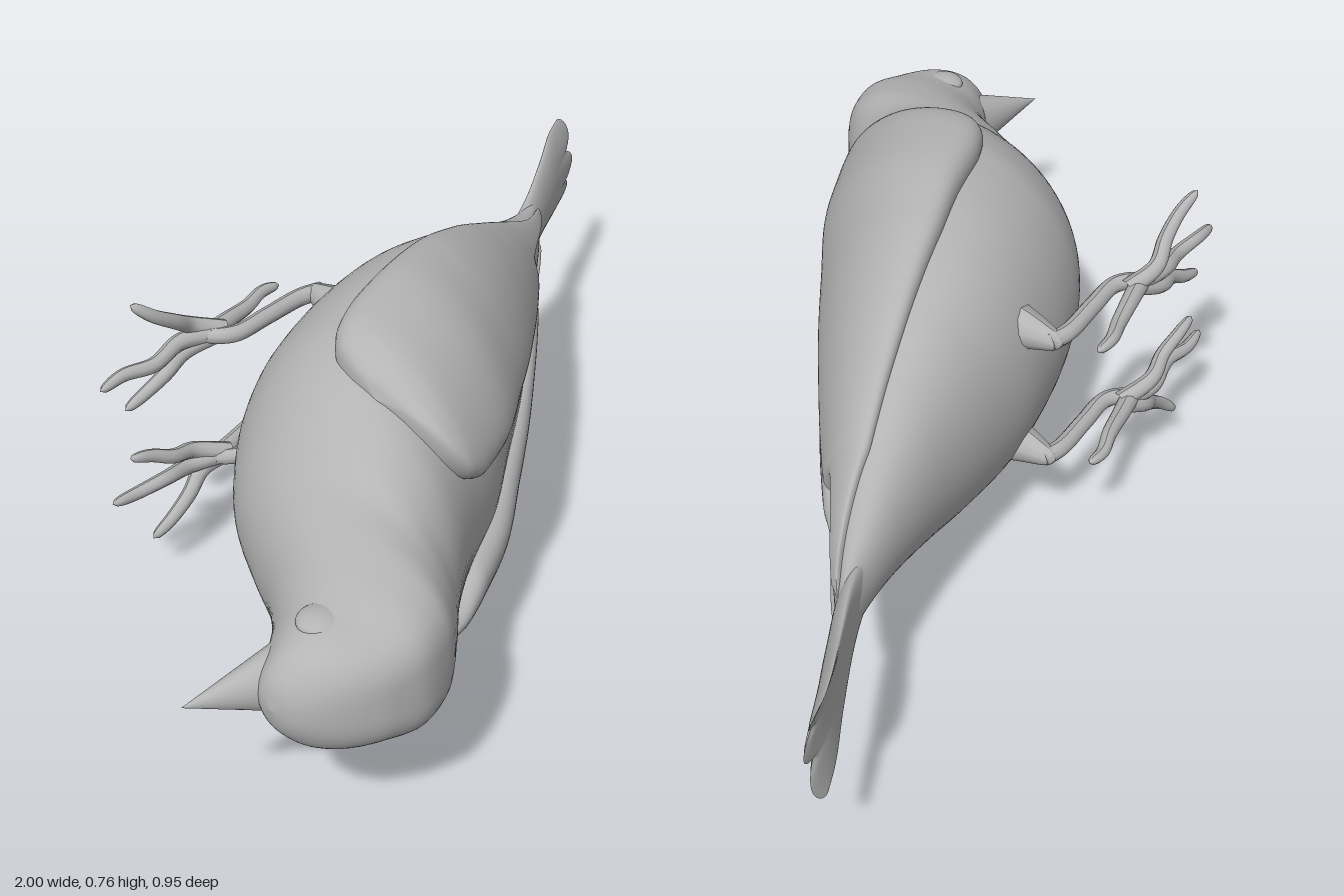
import * as THREE from 'three';

const MID = 0.38; // height of the bird's plane of symmetry (it lies on its side)
const grey = new THREE.MeshStandardMaterial({ color: 0xb4b4b4 });
grey.name = 'plain grey';
const greySheet = new THREE.MeshStandardMaterial({ color: 0xb4b4b4, side: THREE.DoubleSide });
greySheet.name = 'plain grey sheet';

// Monotone cubic through rows [x, a, b, ...]; returns column k at x
function curveAt(rows, k, x) {
  const n = rows.length;
  if (x <= rows[0][0]) return rows[0][k];
  if (x >= rows[n - 1][0]) return rows[n - 1][k];
  let i = 0;
  while (x > rows[i + 1][0]) i++;
  const slope = (j) => (rows[j + 1][k] - rows[j][k]) / (rows[j + 1][0] - rows[j][0]);
  const tangent = (j) => {
    if (j === 0) return slope(0);
    if (j === n - 1) return slope(n - 2);
    const p = slope(j - 1), q = slope(j);
    return p * q <= 0 ? 0 : (2 * p * q) / (p + q);
  };
  const h = rows[i + 1][0] - rows[i][0], t = (x - rows[i][0]) / h, t2 = t * t, t3 = t2 * t;
  return (2 * t3 - 3 * t2 + 1) * rows[i][k] + (t3 - 2 * t2 + t) * h * tangent(i)
    + (3 * t2 - 2 * t3) * rows[i + 1][k] + (t3 - t2) * h * tangent(i + 1);
}

// Grid surface from point(u, v); closed joins the last column to the first
function loft(nu, nv, closed, point) {
  const pos = [], index = [], cols = closed ? nv : nv + 1;
  for (let i = 0; i <= nu; i++) for (let j = 0; j < cols; j++) pos.push(...point(i / nu, j / nv));
  for (let i = 0; i < nu; i++) for (let j = 0; j < nv; j++) {
    const k = (j + 1) % cols, a = i * cols + j, b = a + cols, c = i * cols + k, d = c + cols;
    index.push(a, b, c, b, d, c);
  }
  const g = new THREE.BufferGeometry();
  g.setAttribute('position', new THREE.Float32BufferAttribute(pos, 3));
  g.setIndex(index);
  g.computeVertexNormals();
  return g;
}

// Body sections: x, back z, belly z, half width
const BODY = [
  [-0.912, 0.30, 0.30, 0], [-0.905, 0.335, 0.27, 0.038], [-0.89, 0.365, 0.25, 0.068],
  [-0.86, 0.40, 0.235, 0.10], [-0.82, 0.432, 0.21, 0.12], [-0.77, 0.458, 0.175, 0.132],
  [-0.70, 0.474, 0.10, 0.156], [-0.63, 0.462, -0.01, 0.177], [-0.56, 0.422, -0.11, 0.198],
  [-0.5, 0.378, -0.17, 0.24], [-0.4, 0.315, -0.245, 0.293], [-0.3, 0.262, -0.29, 0.32],
  [-0.15, 0.20, -0.325, 0.33], [0, 0.115, -0.34, 0.314], [0.15, 0.03, -0.336, 0.272],
  [0.3, -0.065, -0.332, 0.207], [0.45, -0.165, -0.336, 0.135], [0.6, -0.262, -0.35, 0.075],
  [0.68, -0.318, -0.362, 0.058], [0.78, -0.38, -0.388, 0.03],
];
// Roundness of the back half of each section: below 1 is fuller, as on the crown
const CROWN = [[-0.9, 0.9], [-0.8, 0.65], [-0.7, 0.55], [-0.63, 0.6], [-0.56, 0.85], [-0.5, 1.1], [-0.42, 1]];
function bodyPoint(x, a, offset = 0) {
  const top = curveAt(BODY, 1, x), low = curveAt(BODY, 2, x), w = curveAt(BODY, 3, x);
  const c = (top + low) / 2, h = (top - low) / 2, s = Math.sin(a);
  const e = Math.cos(a) > 0 ? curveAt(CROWN, 1, x) : 1;
  return [x, MID + (w + offset) * Math.sign(s) * Math.abs(s) ** e, c + (h + offset) * Math.cos(a)];
}

// Wing outline: x, inner edge angle, outer edge angle, thickness
const WING = [
  [-0.405, 1.3, 1.31, 0], [-0.395, 0.93, 1.52, 0.025], [-0.37, 0.62, 1.68, 0.043],
  [-0.33, 0.41, 1.72, 0.051], [-0.28, 0.31, 1.72, 0.053], [-0.2, 0.27, 1.70, 0.052],
  [0, 0.21, 1.65, 0.043], [0.2, 0.15, 1.62, 0.031], [0.42, 0.06, 1.52, 0.021],
  [0.435, 0.1, 1.5, 0.02], [0.45, 0.48, 1.46, 0.019], [0.55, 0.54, 1.25, 0.016],
  [0.66, 0.52, 1.03, 0.013], [0.69, 0.75, 0.85, 0.0],
];
function wingGeometry(side) {
  return loft(110, 36, false, (u, v) => {
    const x = -0.405 + 1.095 * (u < 0.25 ? u * u * 2 : 0.125 + (u - 0.25) * 0.875 / 0.75);
    // samples bunch up near both edges to round the rim
    const t = side > 0 ? v : 1 - v, s = 0.5 - 0.5 * Math.cos(Math.PI * t);
    const a = THREE.MathUtils.lerp(curveAt(WING, 1, x), curveAt(WING, 2, x), s);
    const rim = Math.sqrt(1 - Math.pow(Math.abs(2 * s - 1), 10));
    return bodyPoint(x, side * a, (curveAt(WING, 3, x) + 0.004) * rim - 0.004);
  });
}

// Arched tail fan with three rounded feather tips: x, half width, z, thickness
const TAIL = [[0.56, 0.05, -0.31, 0.022], [0.66, 0.07, -0.336, 0.022], [0.8, 0.094, -0.39, 0.018],
  [0.9, 0.117, -0.43, 0.014], [1, 0.12, -0.459, 0.007]];
function tailGeometry() {
  return loft(30, 96, true, (u, v) => {
    const a = v * Math.PI * 2, s = Math.sin(a);
    const end = 0.95 + (0.05 - 0.012 * Math.abs(s)) * Math.sqrt(Math.abs(Math.cos(1.5 * Math.PI * s)));
    const x = 0.56 + (end - 0.56) * u;
    const thick = curveAt(TAIL, 3, x) * Math.sqrt(Math.max(0, 1 - u ** 8));
    const z = curveAt(TAIL, 2, x) - 0.028 * s * s * u + thick * Math.cos(a);
    return [x, MID + curveAt(TAIL, 1, x) * s, z];
  });
}

// Tube along points that narrows from r0 to r1, with a rounded tip
function taperedTube(points, r0, r1) {
  const curve = new THREE.CatmullRomCurve3(points.map((p) => new THREE.Vector3(...p)));
  const g = new THREE.TubeGeometry(curve, 28, 1, 10, false);
  const p = g.attributes.position, uv = g.attributes.uv, v = new THREE.Vector3();
  for (let i = 0; i < p.count; i++) {
    const u = uv.getX(i), c = curve.getPointAt(u);
    const r = THREE.MathUtils.lerp(r0, r1, u) * Math.sqrt(Math.max(0, 1 - u ** 16));
    v.fromBufferAttribute(p, i).sub(c).multiplyScalar(r).add(c);
    p.setXYZ(i, v.x, v.y, v.z);
  }
  g.computeVertexNormals();
  return g;
}

// Leg pieces: name, radii, points as [x, distance from mid-plane, z]
const LEG = [
  ['thigh', 0.056, 0.016, [[-0.04, 0.142, -0.255], [-0.035, 0.144, -0.32], [-0.025, 0.146, -0.392]]],
  ['shank', 0.019, 0.017, [[-0.015, 0.146, -0.365], [-0.06, 0.146, -0.382], [-0.16, 0.147, -0.386],
    [-0.25, 0.147, -0.392], [-0.29, 0.148, -0.43], [-0.3, 0.148, -0.455]]],
  ['outerToe', 0.02, 0.012, [[-0.25, 0.147, -0.42], [-0.31, 0.175, -0.45], [-0.36, 0.21, -0.444],
    [-0.41, 0.245, -0.448], [-0.45, 0.282, -0.466]]],
  ['middleToe', 0.02, 0.012, [[-0.26, 0.147, -0.42], [-0.34, 0.15, -0.452], [-0.42, 0.138, -0.447],
    [-0.49, 0.143, -0.462], [-0.55, 0.135, -0.464]]],
  ['innerToe', 0.02, 0.012, [[-0.26, 0.147, -0.42], [-0.33, 0.12, -0.455], [-0.39, 0.1, -0.45],
    [-0.44, 0.075, -0.46], [-0.49, 0.058, -0.466]]],
  ['hindToe', 0.02, 0.012, [[-0.29, 0.148, -0.43], [-0.22, 0.145, -0.44], [-0.15, 0.14, -0.45],
    [-0.09, 0.143, -0.463], [-0.045, 0.14, -0.457]]],
];

export function createModel() {
  const bird = new THREE.Group();
  bird.name = 'bird';
  const add = (name, geometry, parent = bird, material = grey) => {
    const m = new THREE.Mesh(geometry, material);
    m.name = name;
    parent.add(m);
    return m;
  };

  add('body', loft(120, 72, true, (u, v) =>
    bodyPoint(-0.912 + 1.692 * Math.pow(u, 1.6), v * Math.PI * 2)));
  add('tail', tailGeometry());

  // Beak: flattened cone pointing forward and down
  const cone = new THREE.ConeGeometry(0.055, 0.2, 32);
  cone.scale(1, 1, 1.4);
  cone.rotateZ(Math.PI / 2); // tip to -x, wide axis on z
  cone.rotateX(Math.PI / 2); // wide axis to y
  cone.rotateY(-Math.atan2(0.085, 0.18));
  cone.translate(-0.91, MID, 0.221);
  add('beak', cone);

  for (const side of [1, -1]) {
    const tag = side > 0 ? 'upper' : 'lower';
    add(tag + 'Wing', wingGeometry(side), bird, greySheet);

    const eye = add(tag + 'Eye', new THREE.SphereGeometry(0.042, 24, 16));
    eye.scale.y = 0.45;
    eye.position.set(-0.785, MID + side * 0.115, 0.305);

    const leg = new THREE.Group();
    leg.name = tag + 'Leg';
    bird.add(leg);
    for (const [name, r0, r1, pts] of LEG)
      add(name, taperedTube(pts.map(([x, y, z]) => [x, MID + side * y, z]), r0, r1), leg);
  }
  return bird;
}
